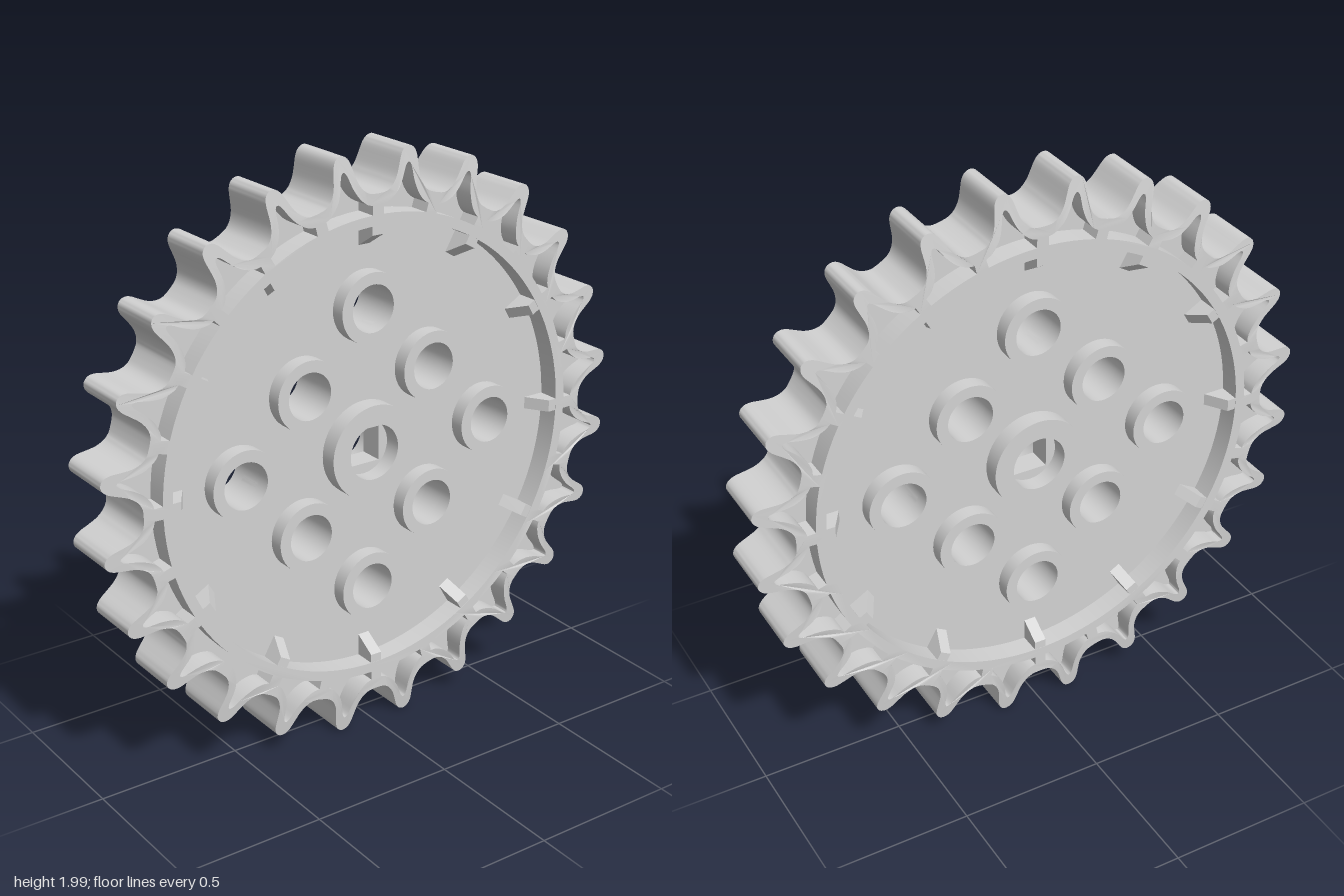
import * as THREE from 'three';
import { toCreasedNormals } from 'three/addons/utils/BufferGeometryUtils.js';

const TEETH = 24, HALF = 0.118, WEB = 0.042;
const STEP = 360 / TEETH;

// point at polar radius r, angle in degrees measured anticlockwise from the top
const polar = (deg, r) => {
  const a = THREE.MathUtils.degToRad(deg);
  return new THREE.Vector2(-Math.sin(a) * r, Math.cos(a) * r);
};

// smooth curve through [angle, radius] pairs
const smooth = (pairs, n) =>
  new THREE.SplineCurve(pairs.map(([a, r]) => new THREE.Vector2(a, r))).getPoints(n);

// mirror a half profile about the tooth centre line
const mirrored = (half) => [
  ...half, ...half.slice(0, -1).reverse().map(([a, r]) => [STEP - a, r])];

// one tooth, valley to valley
const tooth = smooth(mirrored([[0, 0.867], [2, 0.87], [3.5, 0.885], [4.6, 0.912],
  [5.2, 0.945], [5.7, 0.978], [6.4, 0.998], [7.5, 1.006]]), 42);

// hollow behind each tooth
const hollow = smooth(mirrored([[1.4, 0.83], [3, 0.839], [4.8, 0.865], [6, 0.9],
  [6.8, 0.942], [7.5, 0.955]]), 26);

function outline(scale = 1) {
  const pts = [];
  for (let i = 0; i < TEETH; i++)
    for (const p of tooth.slice(0, -1)) pts.push(polar(p.x + i * STEP, p.y * scale));
  return new THREE.Shape(pts);
}

function circle(r, x = 0, y = 0) {
  return new THREE.Path().absarc(x, y, r, 0, Math.PI * 2, true);
}

// extrusion centred on z = 0
function slab(shape, half, curveSegments = 24) {
  const g = new THREE.ExtrudeGeometry(shape, { depth: half * 2, bevelEnabled: false, curveSegments });
  return g.translate(0, 0, -half);
}

export function createModel() {
  const grey = new THREE.MeshStandardMaterial({ color: 0xd2d2d2 });
  grey.name = 'grey';
  const model = new THREE.Group();
  model.name = 'sprocket';
  const wheel = new THREE.Group();
  wheel.name = 'wheel';
  wheel.position.y = 1;
  model.add(wheel);

  const add = (name, geometry, crease = 0.6) => {
    const mesh = new THREE.Mesh(toCreasedNormals(geometry, crease), grey);
    mesh.name = name;
    wheel.add(mesh);
    return mesh;
  };

  // toothed rim with a hollow in every tooth
  const rim = outline();
  rim.holes.push(circle(0.765));
  for (let i = 0; i < TEETH; i++) {
    const pts = hollow.map((p) => polar(p.x + i * STEP, p.y));
    for (let k = 0; k <= 4; k++)
      pts.push(polar(STEP - 1.5 - (k / 4) * (STEP - 3) + i * STEP, 0.8));
    rim.holes.push(new THREE.Path(pts));
  }
  const rimGeo = slab(rim, HALF, 96);
  // thin the teeth towards their tips
  const pos = rimGeo.attributes.position;
  for (let i = 0; i < pos.count; i++) {
    const t = THREE.MathUtils.clamp((Math.hypot(pos.getX(i), pos.getY(i)) - 0.872) / 0.134, 0, 1);
    pos.setZ(i, Math.sign(pos.getZ(i)) * (HALF - 0.018 * t));
  }
  add('toothedRim', rimGeo);

  // hole positions: four on the axes, four on the diagonals
  const holes = [];
  for (let i = 0; i < 8; i++) holes.push(polar(i * 45, i % 2 ? 0.346 : 0.488));

  // central web, also the floor of the tooth hollows
  const web = outline(0.984);
  for (const p of holes) web.holes.push(circle(0.08, p.x, p.y));
  const s = 0.06;
  web.holes.push(new THREE.Path([[-s, -s], [-s, s], [s, s], [s, -s]].map(([x, y]) => new THREE.Vector2(x, y))));
  add('web', slab(web, WEB));

  // raised collars around the holes
  const collar = (name, outer, inner, half, p) => {
    const ring = new THREE.Shape().absarc(0, 0, outer, 0, Math.PI * 2, false);
    ring.holes.push(circle(inner));
    add(name, slab(ring, half)).position.set(p.x, p.y, 0);
  };
  for (const p of holes) collar('holeCollar', 0.12, 0.08, 0.094, p);
  collar('hub', 0.163, 0.095, 0.103, new THREE.Vector2());

  // wedge ribs bracing the inside of the rim
  const w = HALF - 0.001;
  const profile = new THREE.Shape([[0.688, -WEB], [0.735, -w], [0.768, -w],
    [0.768, w], [0.735, w], [0.688, WEB]].map(([x, y]) => new THREE.Vector2(x, y)));
  for (let i = 0; i < 12; i++) {
    const rib = slab(profile, 0.021).rotateX(Math.PI / 2).rotateZ((i * Math.PI) / 6);
    add('rib', rib, 0.2);
  }
  return model;
}
